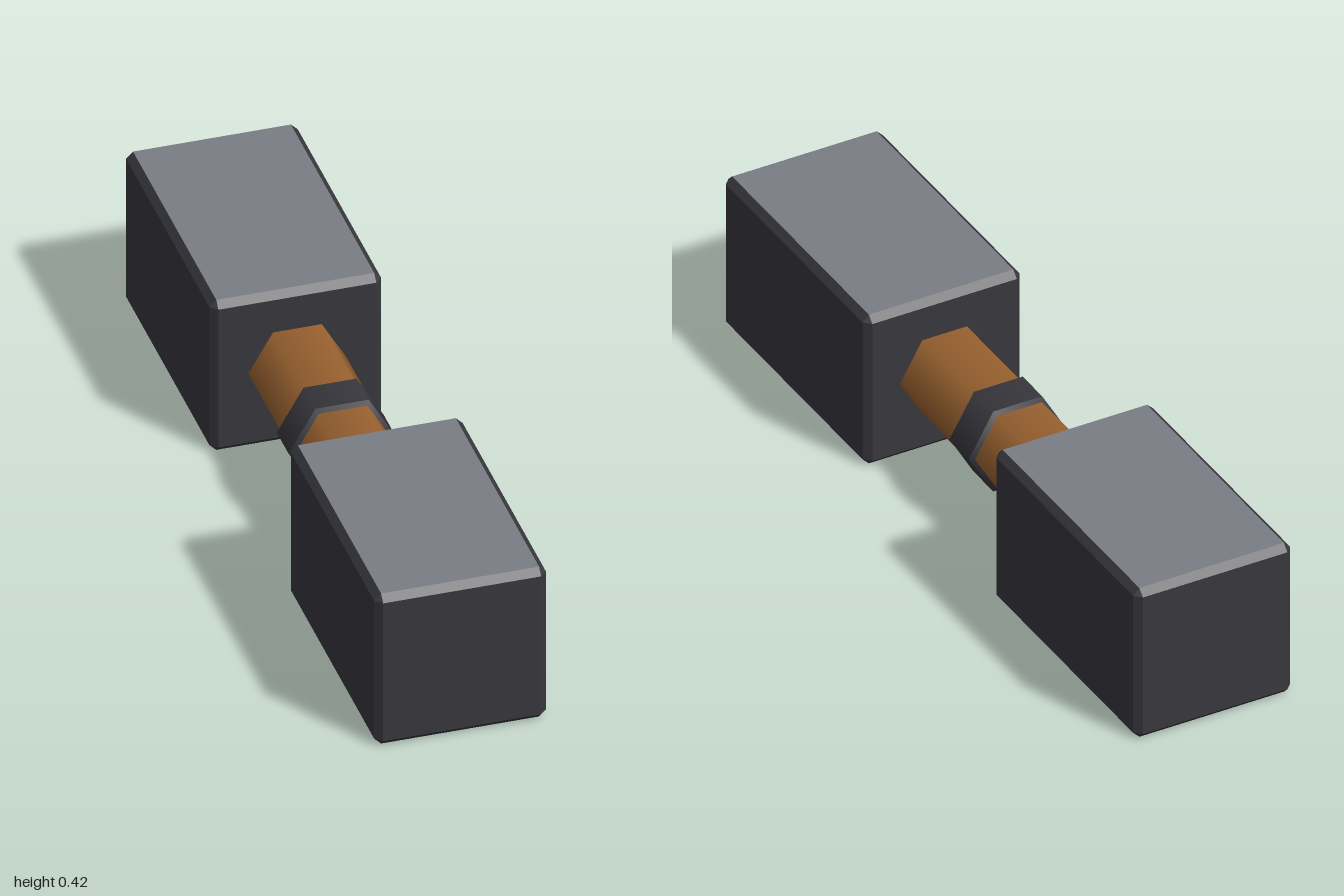
import * as THREE from 'three';
import { ConvexGeometry } from 'three/addons/geometries/ConvexGeometry.js';

const material = (name, color) => {
  const m = new THREE.MeshStandardMaterial({ color });
  m.name = name;
  return m;
};

// Box with every edge chamfered; group 1 holds the flat top and bottom.
function chamferedBox(w, h, d, c) {
  const points = [];
  for (const sx of [-1, 1]) for (const sy of [-1, 1]) for (const sz of [-1, 1]) {
    const x = w / 2, y = h / 2, z = d / 2;
    points.push(
      new THREE.Vector3(sx * x, sy * (y - c), sz * (z - c)),
      new THREE.Vector3(sx * (x - c), sy * y, sz * (z - c)),
      new THREE.Vector3(sx * (x - c), sy * (y - c), sz * z));
  }
  const geometry = new ConvexGeometry(points);
  const normal = geometry.attributes.normal;
  for (let i = 0; i < normal.count; i += 3) {
    geometry.addGroup(i, 3, Math.abs(normal.getY(i)) > 0.99 ? 1 : 0);
  }
  return geometry;
}

// Smooth six-sided band along z, with corners on the x axis.
function hexBand(rBack, rFront, zBack, zFront) {
  return new THREE.CylinderGeometry(rFront, rBack, zFront - zBack, 6, 1, true, Math.PI / 2)
    .rotateX(Math.PI / 2)
    .translate(0, 0, (zBack + zFront) / 2);
}

export function createModel() {
  const model = new THREE.Group();
  model.name = 'doubleHeadedHammer';
  const iron = material('darkIron', 0x38373d);
  const steel = material('greySteel', 0x7b7d84);
  const wood = material('brownWood', 0x9a6230);
  const centreY = 0.211;

  const add = (parent, name, geometry, mat) => {
    const mesh = new THREE.Mesh(geometry, mat);
    mesh.name = name;
    mesh.position.y = centreY;
    parent.add(mesh);
    return mesh;
  };

  // Two heavy blocks
  const block = chamferedBox(0.422, 0.422, 0.694, 0.017);
  for (const [name, side] of [['frontBlock', 1], ['backBlock', -1]]) {
    add(model, name, block, [iron, steel]).position.z = side * 0.653;
  }

  // Wooden grip joining them
  add(model, 'grip', hexBand(0.12, 0.12, -0.32, 0.32), wood);

  // Chamfered collar around the middle of the grip
  const collar = new THREE.Group();
  collar.name = 'collar';
  model.add(collar);
  add(collar, 'collarBand', hexBand(0.131, 0.131, -0.047, 0.047), iron);
  add(collar, 'collarFrontChamfer', hexBand(0.131, 0.119, 0.047, 0.057), iron);
  add(collar, 'collarBackChamfer', hexBand(0.119, 0.131, -0.057, -0.047), iron);

  return model;
}
